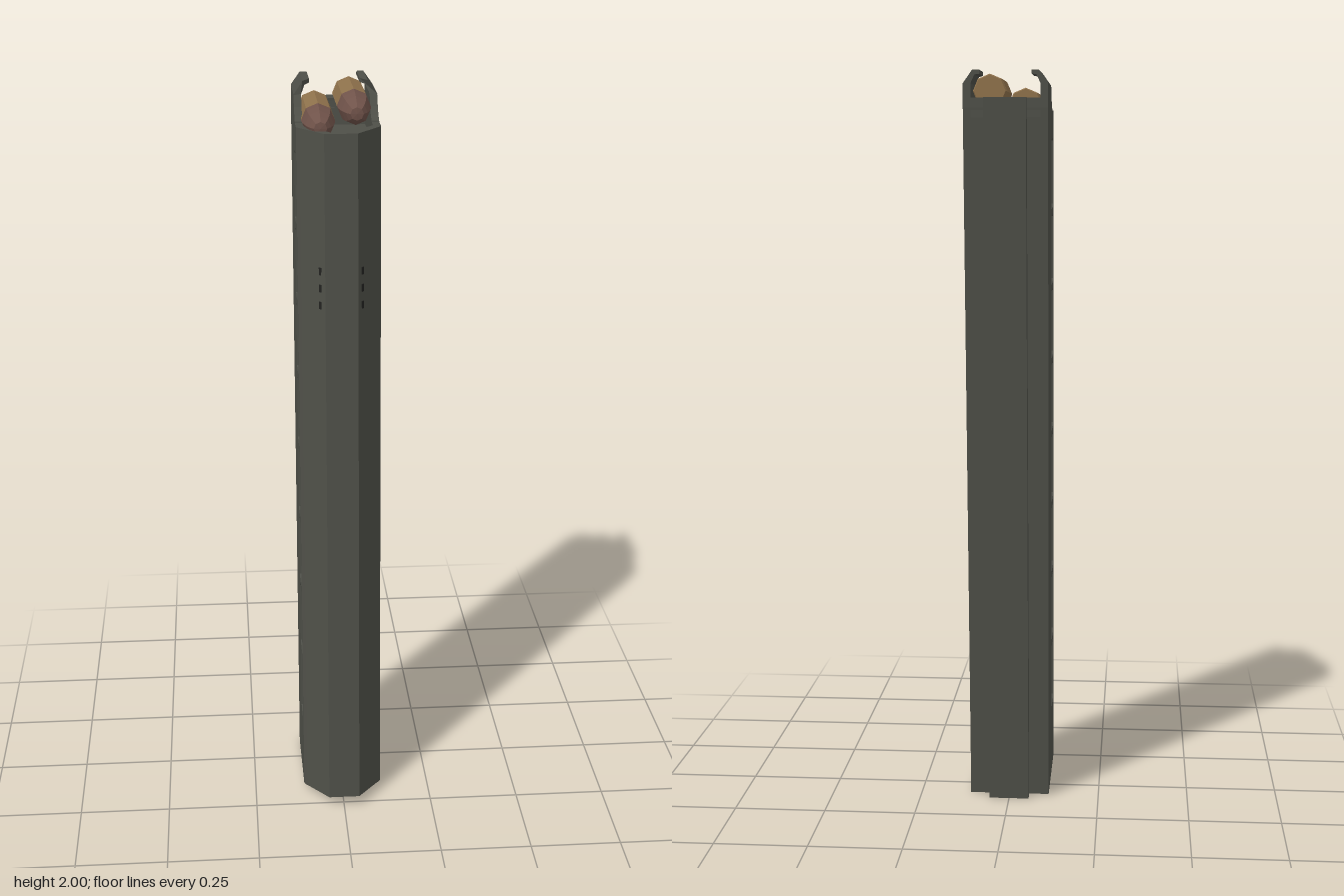
import * as THREE from 'three';

const LEAN = 0.079;            // backward lean of the housing per unit of height
const RIM = 1.905;             // height of the front rim

const mat = (name, color) => {
  const m = new THREE.MeshStandardMaterial({ color });
  m.name = name;
  return m;
};

const toShape = (pts) => new THREE.Shape(pts.map(([a, b]) => new THREE.Vector2(a, b)));
const toPath = (pts) => new THREE.Path(pts.map(([a, b]) => new THREE.Vector2(a, b)));
const extrude = (shape, depth) => new THREE.ExtrudeGeometry(shape, { depth, bevelEnabled: false });

// Apply a rule to every vertex, then rebuild the flat normals
function reshape(geo, rule) {
  const p = geo.attributes.position;
  const v = new THREE.Vector3();
  for (let i = 0; i < p.count; i++) {
    rule(v.fromBufferAttribute(p, i));
    p.setXYZ(i, v.x, v.y, v.z);
  }
  geo.computeVertexNormals();
  return geo;
}
const lean = (v) => { v.z -= LEAN * v.y; };

// Leaning column from half an outline of [x, z], with an optional hole
function column(half, y0, y1, holeHalf) {
  const full = (h) => [...h, ...h.map(([x, z]) => [-x, z]).reverse()].map(([x, z]) => [x, -z]);
  const shape = toShape(full(half));
  if (holeHalf) shape.holes.push(toPath(full(holeHalf)));
  const geo = extrude(shape, 1).rotateX(-Math.PI / 2);
  return reshape(geo, (v) => {
    const bottom = y0 === 0 ? 0.009 + LEAN * v.z : y0;   // square-cut foot
    v.y = v.y < 0.5 ? bottom : y1;
    lean(v);
  });
}

export function createModel() {
  const group = new THREE.Group();
  const grey = mat('housing grey', 0x4e4f48);
  const dark = mat('hole dark', 0x222220);
  const brass = mat('brass', 0x8e714b);
  const copper = mat('copper', 0x70534a);
  const add = (name, geo, material) => {
    const m = new THREE.Mesh(geo, material);
    m.name = name;
    group.add(m);
    return m;
  };

  // Housing: solid below, hollow at the mouth
  const outer = [[0.043, 0.272], [0.102, 0.194], [0.102, -0.085]];
  const inner = [[0.025, 0.255], [0.09, 0.17], [0.09, -0.065]];
  add('housing', column(outer, 0, 1.86), grey);
  add('mouth', column(outer, 1.86, RIM, inner), grey);
  add('backRib', column([[0.055, -0.068], [0.055, -0.118]], 0, 1.93), grey);

  // Side plates with a row of eight recessed panels
  const tilted = (s, y) => [s, y + LEAN * (s - 0.12)];
  function sidePlate() {
    const foot = (s) => 0.009 + LEAN * s;
    const shape = toShape([[0.183, foot(0.183)], [0.183, RIM], [-0.085, RIM], [-0.085, foot(-0.085)]]);
    for (let i = 0; i < 8; i++) {
      const y0 = 0.212 + i * 0.2045, y1 = y0 + 0.186, a = 0.078, b = 0.165, c = 0.008;
      shape.holes.push(toPath([
        tilted(a + c, y0), tilted(b - c, y0), tilted(b, y0 + c), tilted(b, y1 - c),
        tilted(b - c, y1), tilted(a + c, y1), tilted(a, y1 - c), tilted(a, y0 + c),
      ]));
    }
    return extrude(shape, 0.008).rotateY(-Math.PI / 2);
  }

  // Feed lips: raised rear walls with the top folded inwards
  const lipSide = [[-0.235, 1.9], [-0.02, 1.9], [-0.022, 1.908], [-0.045, 1.918], [-0.065, 1.938],
    [-0.085, 1.967], [-0.235, 1.967]];
  const lipFold = [[0.11, 1.966], [0.086, 2.0], [0.067, 2.0], [0.067, 1.99], [0.08, 1.988], [0.092, 1.962]];

  for (const [side, sx] of [['left', 1], ['right', -1]]) {
    const plate = sidePlate().translate(sx > 0 ? 0.11 : -0.102, 0, 0);
    add(side + 'SidePlate', reshape(plate, (v) => {
      if (Math.abs(v.x) < 0.105 && v.z > 0.175) v.z += 0.011;   // meets the front chamfer
      lean(v);
    }), grey);

    const wall = extrude(toShape(lipSide), 0.02).rotateY(-Math.PI / 2);
    add(side + 'LipWall', wall.translate(sx > 0 ? 0.11 : -0.09, 0, 0), grey);

    const fold = extrude(toShape(lipFold.map(([x, y]) => [sx * x, y])), 1);
    add(side + 'LipFold', reshape(fold, (v) => {
      v.z = v.z < 0.5 ? -0.235 : Math.min(-0.083, -0.125 + (Math.abs(v.x) - 0.067) * 1.6);
    }), grey);

    // Small holes down the front chamfer
    for (const y of [1.46, 1.505, 1.55]) {
      const hole = add(side + 'ChamferHole', new THREE.BoxGeometry(0.008, 0.02, 0.003), dark);
      hole.position.set(sx * 0.055, y, 0.2565 - LEAN * y);
      hole.rotation.y = sx * 0.92;
    }
  }

  // Back edge of the mouth
  add('backEdge', new THREE.BoxGeometry(0.18, 0.05, 0.015).translate(0, 1.905, -0.2275), grey);

  // Opening in the upper left panel
  const opening = toShape([[0.082, 1.78], [0.161, 1.786], [0.161, 1.824], [0.082, 1.818]]);
  add('sideOpening', reshape(extrude(opening, 0.003).rotateY(-Math.PI / 2).translate(0.104, 0, 0), lean), brass);

  // Two staggered rounds, each turned about its long axis
  const lathe = (pts) => reshape(
    new THREE.LatheGeometry(pts.map(([r, z]) => new THREE.Vector2(r, z)), 8)
      .rotateX(Math.PI / 2).toNonIndexed(), () => {});
  const caseProfile = [[0, -0.205], [0.041, -0.205], [0.044, -0.2], [0.044, -0.193], [0.04, -0.19],
    [0.04, -0.182], [0.044, -0.176], [0.044, -0.02]];
  const tipProfile = [[0.044, -0.02], [0.0425, 0.012], [0.037, 0.045], [0.028, 0.072], [0.017, 0.09], [0, 0.092]];
  for (const [side, x, y] of [['left', 0.043, 1.948], ['right', -0.05, 1.912]]) {
    add(side + 'Case', lathe(caseProfile), brass).position.set(x, y, 0);
    add(side + 'Tip', lathe(tipProfile), copper).position.set(x, y, 0);
  }
  return group;
}
